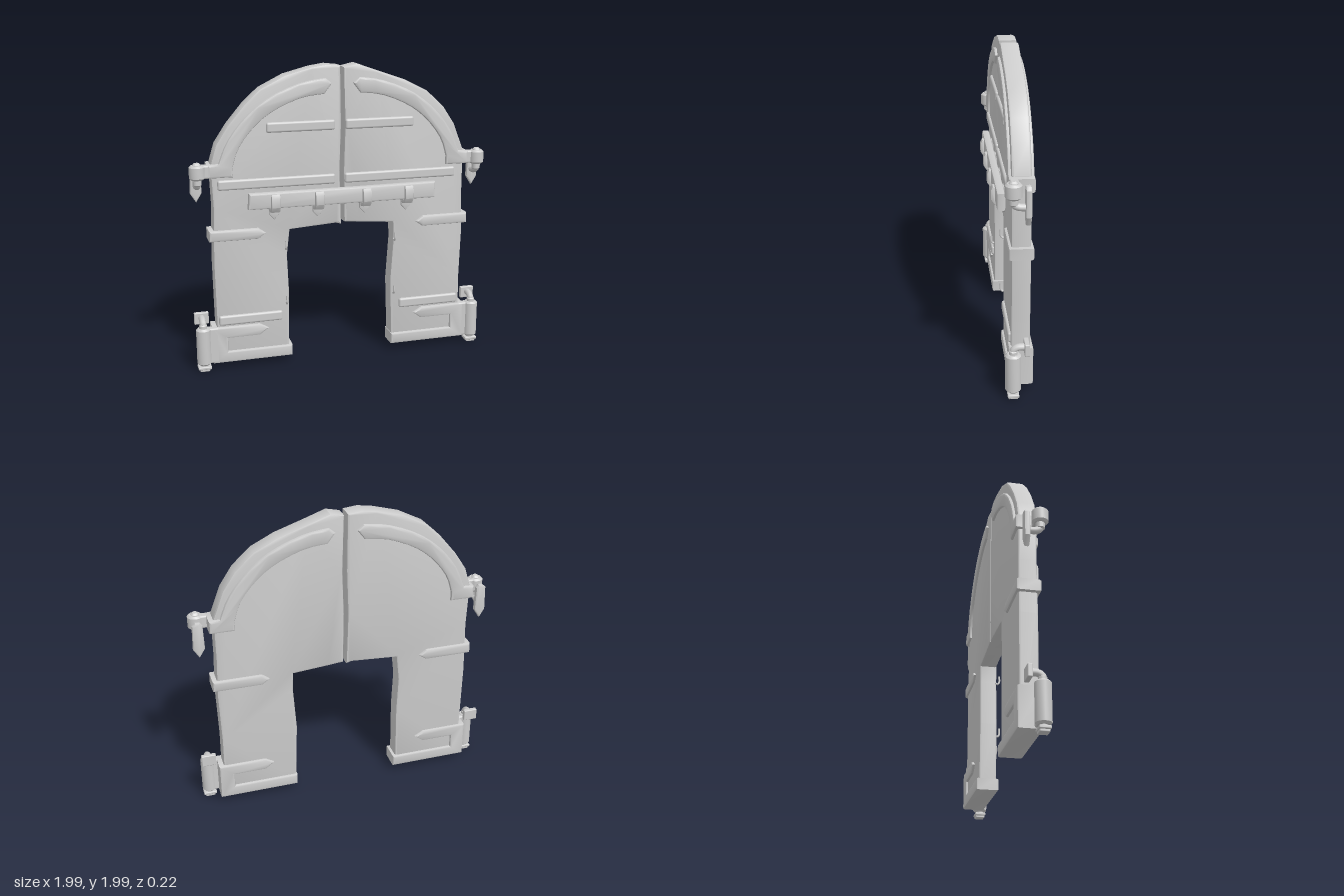
import * as THREE from 'three';
import { toCreasedNormals } from 'three/addons/utils/BufferGeometryUtils.js';
import { RoundedBoxGeometry } from 'three/addons/geometries/RoundedBoxGeometry.js';

const material = new THREE.MeshStandardMaterial({ color: 0xcccccc });

function addMesh(parent, name, geometry, x = 0, y = 0, z = 0) {
  const mesh = new THREE.Mesh(geometry, material);
  mesh.name = name;
  mesh.position.set(x, y, z);
  parent.add(mesh);
  return mesh;
}

// Bevelled plate cut from an outline, running from zBack to zFront
function slab(parent, name, points, zBack, zFront, bevel = 0.012, side = 1) {
  const shape = new THREE.Shape(points.map(([x, y]) => new THREE.Vector2(x * side, y)));
  const geometry = new THREE.ExtrudeGeometry(shape, {
    depth: zFront - zBack - 2 * bevel, bevelEnabled: true, bevelSize: bevel,
    bevelThickness: bevel, bevelOffset: -bevel, bevelSegments: 2,
  });
  geometry.translate(0, 0, zBack + bevel);
  return addMesh(parent, name, toCreasedNormals(geometry, 0.5));
}

function block(parent, name, x0, x1, y0, y1, z0, z1, radius = 0.012) {
  const geometry = new RoundedBoxGeometry(x1 - x0, y1 - y0, z1 - z0, 2, radius);
  return addMesh(parent, name, geometry, (x0 + x1) / 2, (y0 + y1) / 2, (z0 + z1) / 2);
}

function bar(parent, name, x, y0, y1, z, radius) {
  // rounded barrel turned from a short profile
  const h = y1 - y0, b = Math.min(0.012, h / 3);
  const profile = [[0, 0], [radius - b, 0], [radius, b], [radius, h - b], [radius - b, h], [0, h]]
    .map(([r, y]) => new THREE.Vector2(r, y));
  const geometry = toCreasedNormals(new THREE.LatheGeometry(profile, 20), 0.6);
  return addMesh(parent, name, geometry, x, y0, z);
}

function rod(parent, name, points, radius) {
  const curve = new THREE.CatmullRomCurve3(points.map(p => new THREE.Vector3(...p)));
  return addMesh(parent, name, new THREE.TubeGeometry(curve, 14, radius, 10));
}

function spline(points, steps) {
  return new THREE.SplineCurve(points.map(p => new THREE.Vector2(...p)))
    .getPoints(steps).map(p => [p.x, p.y]);
}

// Slightly uneven hand-cut outlines of the two leaves
const leftLeaf = [
  [0.015, 0.95], [0.01, 1.3], [0.02, 1.6], [0.01, 1.97], [0.1, 1.99], [0.24, 1.94], [0.43, 1.875],
  [0.58, 1.8], [0.7, 1.69], [0.78, 1.57], [0.85, 1.39], [0.85, 1.1], [0.86, 0.85],
  [0.85, 0.5], [0.855, 0.06], [0.355, 0.06], [0.34, 0.5], [0.36, 0.8], [0.355, 0.92], [0.12, 0.94],
];
const rightLeaf = [
  [-0.005, 0.935], [-0.015, 1.3], [-0.005, 1.6], [-0.01, 1.98], [-0.1, 1.99], [-0.2, 1.975],
  [-0.37, 1.93], [-0.53, 1.85], [-0.63, 1.76], [-0.74, 1.63], [-0.82, 1.51], [-0.86, 1.38],
  [-0.85, 1.1], [-0.86, 0.75], [-0.85, 0.06], [-0.37, 0.06], [-0.365, 0.5],
  [-0.375, 0.75], [-0.355, 0.925], [-0.04, 0.945],
];

// Curved strap along the top, ending in a clasp around the leaf edge
const archStrap = [
  [0.07, 1.87],
  ...spline([[0.11, 1.905], [0.27, 1.88], [0.47, 1.8], [0.63, 1.68], [0.75, 1.53], [0.81, 1.39]], 14),
  [0.88, 1.385], [0.88, 1.3], [0.72, 1.3],
  ...spline([[0.72, 1.36], [0.68, 1.48], [0.58, 1.61], [0.45, 1.71], [0.27, 1.785], [0.12, 1.805]], 14),
];
const middleStrap = [
  [0.515, 0.918], [0.565, 0.955], [0.885, 0.955], [0.885, 0.882], [0.565, 0.882],
];
const footStrap = [
  [0.35, 0.045], [0.35, 0.122], [0.785, 0.122], [0.785, 0.215], [0.57, 0.215],
  [0.51, 0.26], [0.57, 0.295], [0.885, 0.295], [0.885, 0.045],
];

function addHinges(parent, side) {
  const x = 0.945 * side;
  const arm = (name, y0, y1) =>
    block(parent, name, Math.min(side * 0.84, x), Math.max(side * 0.84, x), y0, y1, -0.015, 0.04);

  // upper hinge with its hanging wall plate
  arm('upperHingeArm', 1.3, 1.385);
  bar(parent, 'upperHingeBarrel', x, 1.295, 1.388, 0.022, 0.05);
  bar(parent, 'upperHingePin', x, 1.25, 1.402, 0.022, 0.028);
  rod(parent, 'upperHingeHook', [[x, 1.3, 0.022], [x, 1.26, 0.02], [x, 1.245, -0.005], [x, 1.24, -0.055]], 0.022);
  const plate = [[0.91, 1.19], [0.915, 1.35], [0.93, 1.37], [0.96, 1.37], [0.98, 1.35], [0.985, 1.19], [0.948, 1.13]];
  slab(parent, 'upperWallPlate', plate, -0.08, -0.045, 0.01, side);

  // lower hinge standing on a small foot
  arm('lowerHingeArm', 0.05, 0.295);
  bar(parent, 'lowerHingeBarrel', x, 0.045, 0.3, 0.02, 0.048);
  bar(parent, 'lowerHingePin', x, 0.005, 0.33, 0.02, 0.026);
  block(parent, 'lowerHingeFoot', x - 0.044, x + 0.044, 0.015, 0.035, -0.015, 0.055, 0.006);
  block(parent, 'lowerHingeFootBase', x - 0.032, x + 0.032, 0, 0.02, -0.01, 0.05, 0.006);
  rod(parent, 'lowerHingeHook', [[x, 0.29, 0.02], [x, 0.325, 0.018], [x, 0.342, -0.005], [x, 0.345, -0.06]], 0.022);
  block(parent, 'lowerWallPlate', x - 0.048, x + 0.048, 0.3, 0.38, -0.075, -0.045, 0.006);
}

// J-shaped strap that carries the crossbar
function addBarHook(parent, x) {
  const profile = [
    [0.02, 1.06], [0.045, 1.055], [0.09, 1.065], [0.113, 1.1], [0.113, 1.16], [0.1, 1.185],
    [0.083, 1.185], [0.083, 1.1], [0.075, 1.088], [0.02, 1.088],
  ];
  const shape = new THREE.Shape(profile.map(([z, y]) => new THREE.Vector2(z, y)));
  const geometry = new THREE.ExtrudeGeometry(shape, {
    depth: 0.044, bevelEnabled: true, bevelSize: 0.006, bevelThickness: 0.008, bevelOffset: -0.006, bevelSegments: 2,
  });
  geometry.translate(0, 0, -0.022);
  geometry.rotateY(-Math.PI / 2);
  addMesh(parent, 'barHook', toCreasedNormals(geometry, 0.6), x);
  const plate = [[-0.033, 1.04], [0, 1.005], [0.033, 1.04], [0.033, 1.18], [-0.033, 1.18]];
  slab(parent, 'barHookPlate', plate.map(([px, y]) => [px + x, y]), 0.015, 0.042, 0.008);
}

export function createModel() {
  const model = new THREE.Group();
  model.name = 'doubleGate';

  for (const [label, side, outline] of [['left', 1, leftLeaf], ['right', -1, rightLeaf]]) {
    const leaf = new THREE.Group();
    leaf.name = `${label}Leaf`;
    model.add(leaf);
    slab(leaf, 'panel', outline, -0.093, 0.024, 0.014);
    slab(leaf, 'archStrap', archStrap, -0.112, 0.043, 0.014, side);
    slab(leaf, 'middleStrap', middleStrap, -0.11, 0.042, 0.014, side);
    slab(leaf, 'footStrap', footStrap, -0.11, 0.04, 0.012, side);
    addHinges(leaf, side);

    // small catches beside the opening
    const catchX = side > 0 ? 0.365 : -0.385;
    for (const y of [0.41, 0.79]) {
      rod(leaf, 'smallCatch', [[catchX, y + 0.015, 0.015], [catchX, y + 0.008, 0.03],
        [catchX, y + 0.02, 0.042], [catchX, y + 0.065, 0.043]], 0.007);
    }
  }

  // front ribs
  const ribs = [
    [-0.5, -0.05, 1.605], [0.02, 0.485, 1.605],
    [-0.82, -0.05, 1.25], [0.015, 0.785, 1.25],
    [-0.84, -0.415, 0.34], [0.405, 0.83, 0.34],
  ];
  for (const [x0, x1, y] of ribs) block(model, 'rib', x0, x1, y - 0.033, y + 0.033, 0.005, 0.042, 0.014);

  // crossbar held by four hooks
  slab(model, 'crossbar', [[-0.635, 1.09], [0.63, 1.09], [0.63, 1.2], [0.1, 1.195], [-0.63, 1.195]], 0.038, 0.088);
  for (const x of [-0.46, -0.17, 0.15, 0.44]) addBarHook(model, x);

  return model;
}
